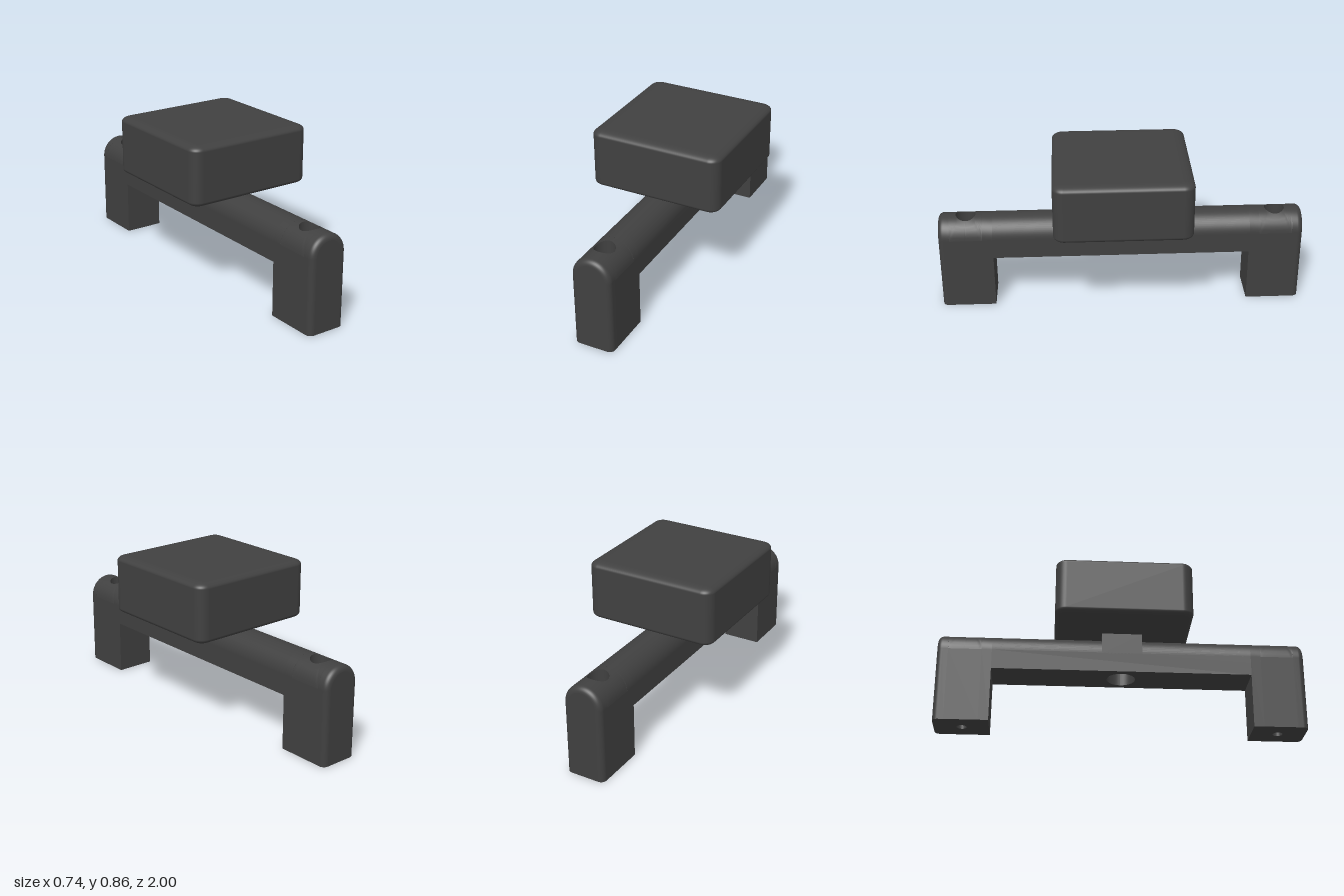
import * as THREE from 'three';
import { RoundedBoxGeometry } from 'three/addons/geometries/RoundedBoxGeometry.js';

const R = 0.11;        // half width of the bar and radius of its arched top
const SPRING = 0.41;   // height where the arch begins
const BEAM_Y = 0.3;    // underside of the beam
const LEG_Z = 0.705;   // inner face of the leg
const HOLE_Z = 0.85, BORE_R = 0.055, BOLT_R = 0.027, BORE_FLOOR = 0.43;
const FILLET = 0.03, PATCH = 0.09;

// Surface through rows of [x, y, z] points
function grid(rows) {
  const n = rows[0].length, index = [];
  for (let i = 0; i < rows.length - 1; i++) {
    for (let j = 0; j < n - 1; j++) {
      const a = i * n + j, b = a + n;
      index.push(a, b, a + 1, b, b + 1, a + 1);
    }
  }
  const g = new THREE.BufferGeometry();
  g.setAttribute('position', new THREE.Float32BufferAttribute(rows.flat(2), 3));
  g.setIndex(index);
  g.computeVertexNormals();
  return g;
}

const steps = (n, fn) => Array.from({ length: n + 1 }, (_, i) => fn(i / n));

// Arched cross-section of half width w, open at the bottom
function section(z, w, base) {
  const arch = steps(32, (u) => {
    const a = (u - 0.5) * Math.PI;
    return [w * Math.sin(a), SPRING + w * Math.cos(a), z];
  });
  return [[-w, base, z], ...arch, [w, base, z]];
}

// Inward-facing wall of a vertical hole
function holeWall(r, z, topY, bottomY) {
  const ring = (y) => steps(48, (u) => {
    const x = r * Math.cos(u * Math.PI * 2);
    return [x, y(x), z + r * Math.sin(u * Math.PI * 2)];
  });
  return grid([ring(topY), ring(() => bottomY)]);
}

// Arched top around the bolt hole, blended from circle to rectangle
function archPatch() {
  return grid(steps(6, (s) => steps(64, (u) => {
    const c = Math.cos(u * Math.PI * 2), d = -Math.sin(u * Math.PI * 2);
    const m = Math.max(Math.abs(c), Math.abs(d));
    const phi = THREE.MathUtils.lerp(Math.asin(BORE_R * c / R), c / m * Math.PI / 2, s);
    const z = THREE.MathUtils.lerp(BORE_R * d, PATCH * d / m, s);
    return [R * Math.sin(phi), SPRING + R * Math.cos(phi), HOLE_Z + z];
  })));
}

function circleHole(shape, y, r) {
  shape.holes.push(new THREE.Path().absarc(0, y, r, 0, Math.PI * 2, true));
}

export function createModel() {
  const charcoal = new THREE.MeshStandardMaterial({ color: 0x404040, side: THREE.DoubleSide });
  charcoal.name = 'charcoal';
  const model = new THREE.Group();
  model.name = 'mountedBlock';
  const add = (parent, name, geometry) => {
    const mesh = new THREE.Mesh(geometry, charcoal);
    mesh.name = name;
    parent.add(mesh);
    return mesh;
  };

  // Block with softened edges
  const block = new RoundedBoxGeometry(0.74, 0.66, 0.74, 6, 0.06);
  block.scale(1, 0.5, 1);
  add(model, 'block', block).position.y = 0.69;

  const bar = new THREE.Group();
  bar.name = 'bar';
  bar.position.x = -0.01;
  model.add(bar);

  // Square saddle between bar and block
  add(bar, 'saddle', new THREE.BoxGeometry(2 * R, 0.12, 2 * R)).position.y = 0.466;

  // Beam with a round recess underneath
  add(bar, 'beam', grid([section(-LEG_Z, R, BEAM_Y), section(LEG_Z, R, BEAM_Y)]));
  const under = new THREE.Shape([[-R, -LEG_Z], [R, -LEG_Z], [R, LEG_Z], [-R, LEG_Z]]
    .map(([x, y]) => new THREE.Vector2(x, y)));
  circleHole(under, 0, 0.078);
  add(bar, 'beamUnderside', new THREE.ShapeGeometry(under, 32).rotateX(Math.PI / 2)).position.y = BEAM_Y;
  add(bar, 'recessWall', holeWall(0.078, 0, () => 0.43, BEAM_Y));
  add(bar, 'recessCeiling', new THREE.CircleGeometry(0.078, 48).rotateX(Math.PI / 2)).position.y = 0.43;

  // Two identical legs, the back one turned around
  for (const [name, turn] of [['frontLeg', 0], ['backLeg', Math.PI]]) {
    const leg = new THREE.Group();
    leg.name = name;
    leg.rotation.y = turn;
    bar.add(leg);
    const z0 = HOLE_Z - PATCH, z1 = HOLE_Z + PATCH;

    // Outer skin, rounded towards the end face
    add(leg, 'innerSkin', grid([section(LEG_Z, R, 0), section(z0, R, 0)]));
    const roundedEnd = steps(8, (u) => section(
      1 - FILLET + FILLET * Math.sin(u * Math.PI / 2),
      R - FILLET * (1 - Math.cos(u * Math.PI / 2)), 0));
    add(leg, 'endSkin', grid([section(z1, R, 0), ...roundedEnd]));
    add(leg, 'rightSide', grid([z0, z1].map((z) => [[-R, 0, z], [-R, SPRING, z]])));
    add(leg, 'leftSide', grid([z0, z1].map((z) => [[R, SPRING, z], [R, 0, z]])));
    add(leg, 'archAroundHole', archPatch());

    // End face and inner face
    const w = R - FILLET;
    const end = new THREE.Shape();
    end.moveTo(-w, 0).lineTo(w, 0).lineTo(w, SPRING);
    end.absarc(0, SPRING, w, 0, Math.PI, false);
    add(leg, 'endFace', new THREE.ShapeGeometry(end, 32)).position.z = 1;
    const inner = add(leg, 'innerFace', new THREE.PlaneGeometry(2 * R, BEAM_Y));
    inner.rotation.y = Math.PI;
    inner.position.set(0, BEAM_Y / 2, LEG_Z);

    // Foot with the bolt hole through it
    const sole = new THREE.Shape();
    sole.moveTo(-R, LEG_Z).lineTo(R, LEG_Z).lineTo(R, 1 - FILLET);
    sole.absarc(w, 1 - FILLET, FILLET, 0, Math.PI / 2, false);
    sole.lineTo(-w, 1);
    sole.absarc(-w, 1 - FILLET, FILLET, Math.PI / 2, Math.PI, false);
    circleHole(sole, HOLE_Z, BOLT_R);
    add(leg, 'sole', new THREE.ShapeGeometry(sole, 24).rotateX(Math.PI / 2));

    // Counterbored bolt hole
    const archY = (x) => SPRING + Math.sqrt(R * R - x * x);
    add(leg, 'counterboreWall', holeWall(BORE_R, HOLE_Z, archY, BORE_FLOOR));
    add(leg, 'counterboreFloor', new THREE.RingGeometry(BOLT_R, BORE_R, 48).rotateX(-Math.PI / 2))
      .position.set(0, BORE_FLOOR, HOLE_Z);
    add(leg, 'boltHole', holeWall(BOLT_R, HOLE_Z, () => BORE_FLOOR, 0));
  }

  return model;
}
